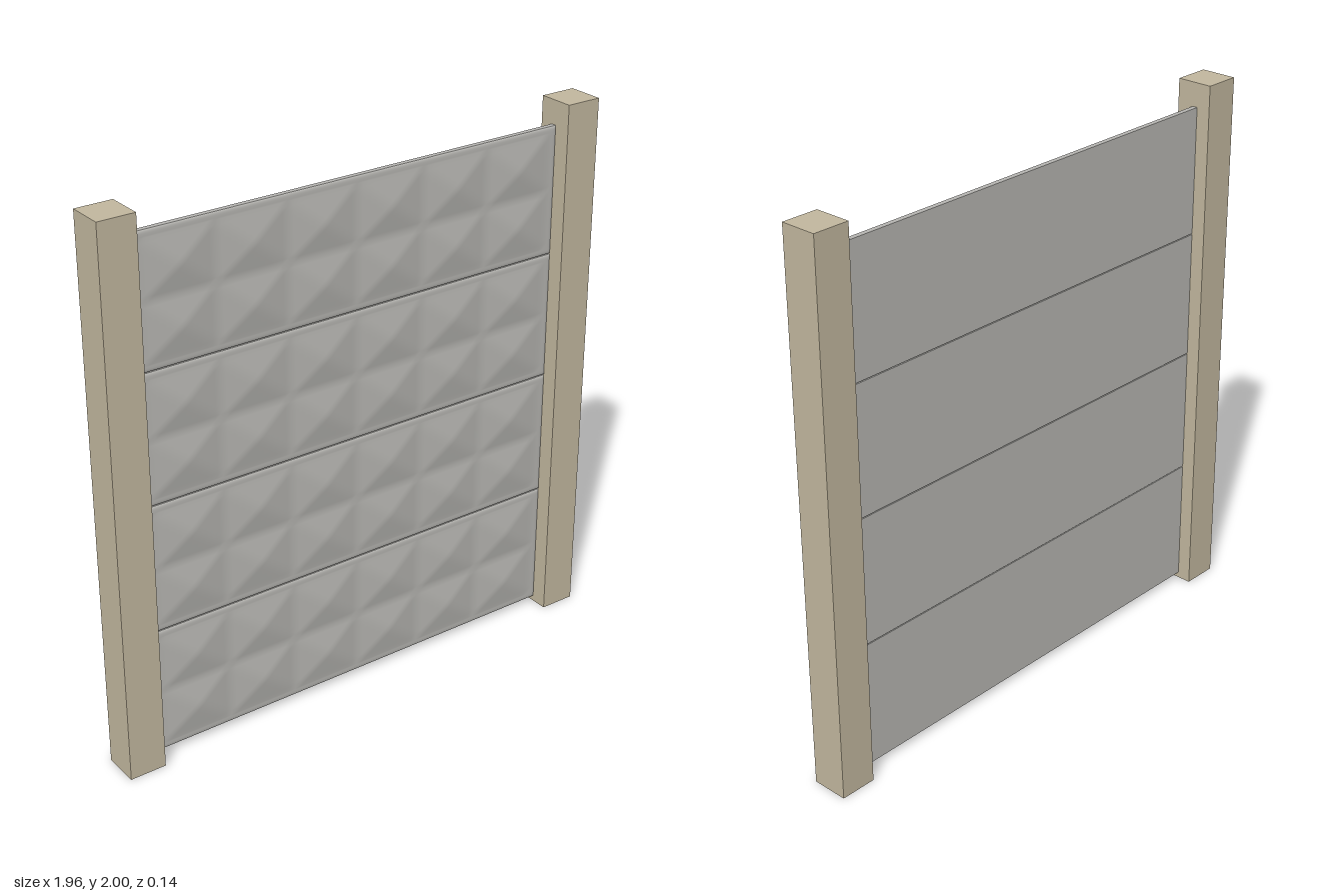
import * as THREE from 'three';

const postMat = new THREE.MeshStandardMaterial({ name: 'sandstone', color: 0xc2b79e });
const panelMat = new THREE.MeshStandardMaterial({ name: 'concreteGrey', color: 0xb6b5b1 });

const PANEL_W = 1.69, PANEL_H = 0.47, PITCH = 0.4735, FIRST_Y = 0.022;
const BACK = -0.015, EDGE = 0.004, RIM = 0.009, PEAK = 0.016;
const COLS = 6, ROWS = 2, CELL_W = 0.27, CELL_H = 0.21, STEPS = 12;

// Grid lines along one axis: dense over the pyramids, extra lines for the rounded rim
function gridLines(size, cells, cell) {
  const half = size / 2, inner = cells * cell / 2, n = cells * STEPS;
  const rim = [0, 0.002, 0.006, 0.012, 0.02].map((d) => half - d);
  const lines = rim.map((v) => -v);
  for (let i = 0; i <= n; i++) lines.push(-inner + (i * 2 * inner) / n);
  return lines.concat(rim.reverse());
}

// Rounded rim plus a softened pyramid in every cell
function relief(x, y) {
  const edge = Math.min(PANEL_W / 2 - Math.abs(x), PANEL_H / 2 - Math.abs(y));
  const t = Math.min(1, Math.max(0, edge / 0.012));
  let z = EDGE + (RIM - EDGE) * Math.sqrt(1 - (1 - t) ** 2);
  const cx = x / CELL_W + COLS / 2, cy = y / CELL_H + ROWS / 2;
  if (cx > 0 && cx < COLS && cy > 0 && cy < ROWS) {
    const a = 1 - Math.abs(2 * (cx % 1) - 1), b = 1 - Math.abs(2 * (cy % 1) - 1);
    const k = 0.08;
    const m = (a + b - Math.sqrt((a - b) ** 2 + k * k)) / 2 + k / 2;
    z += PEAK * Math.min(m, a, b);
  }
  return z;
}

function reliefGeometry() {
  const xs = gridLines(PANEL_W, COLS, CELL_W), ys = gridLines(PANEL_H, ROWS, CELL_H).reverse();
  const geo = new THREE.PlaneGeometry(1, 1, xs.length - 1, ys.length - 1);
  const pos = geo.attributes.position;
  for (let i = 0; i < pos.count; i++) {
    const x = xs[i % xs.length], y = ys[Math.floor(i / xs.length)];
    pos.setXYZ(i, x, y, relief(x, y));
  }
  geo.computeVertexNormals();
  return geo;
}

export function createModel() {
  const model = new THREE.Group();
  model.name = 'fenceSection';

  // Square posts
  for (const [name, side] of [['leftPost', 1], ['rightPost', -1]]) {
    const post = new THREE.Mesh(new THREE.BoxGeometry(0.135, 2, 0.135), postMat);
    post.name = name;
    post.position.set(side * 0.9125, 1, 0);
    model.add(post);
  }

  // Stacked panels: flat slab behind, pyramid relief in front
  const slabGeo = new THREE.BoxGeometry(PANEL_W, PANEL_H, EDGE - BACK);
  const faceGeo = reliefGeometry();
  for (let i = 0; i < 4; i++) {
    const panel = new THREE.Group();
    panel.name = `panel${i + 1}`;
    const slab = new THREE.Mesh(slabGeo, panelMat);
    slab.name = 'slab';
    slab.position.z = (EDGE + BACK) / 2;
    const face = new THREE.Mesh(faceGeo, panelMat);
    face.name = 'pyramidRelief';
    panel.add(slab, face);
    panel.position.y = FIRST_Y + PANEL_H / 2 + i * PITCH;
    model.add(panel);
  }
  return model;
}
